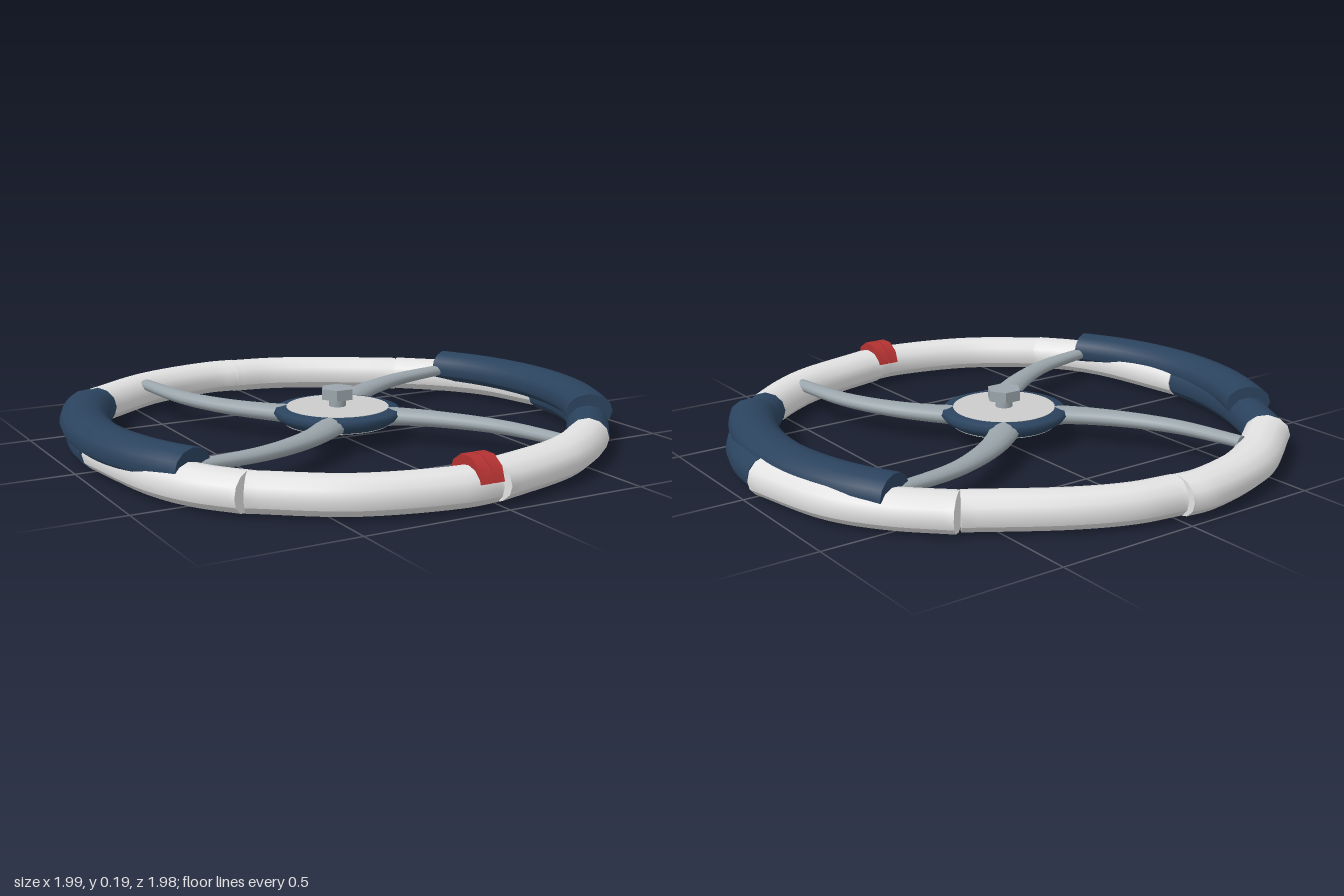
import * as THREE from 'three';

const CX = -0.03; // hub centre in x
const mat = (name, color) => {
  const m = new THREE.MeshStandardMaterial({ color });
  m.name = name;
  return m;
};

// Section strips as angles in degrees; each strip is smooth, strip borders stay sharp
const RIM = [[-27, 0, 30, 60, 90, 120, 150, 180, 207], [207, 235, 270, 305, 333]];
const ROUND = [[-90, -60, -30, 0, 30, 60, 90, 120, 150, 180, 210, 240, 270]];
const SADDLE = [[0, 36, 72, 108, 144, 180], [180, 360]];

// Sweep an elliptical section along a path; widths and heights taper from start to end
function sweep(points, [w0, w1], [h0, h1], strips, steps = 20) {
  const curve = new THREE.CatmullRomCurve3(points.map((p) => new THREE.Vector3(...p)));
  const pos = [], index = [];
  const at = (t, deg) => {
    const p = curve.getPoint(t), d = curve.getTangent(t), a = THREE.MathUtils.degToRad(deg);
    const len = Math.hypot(d.x, d.z), w = (w0 + (w1 - w0) * t) * Math.cos(a);
    const h = (h0 + (h1 - h0) * t) * Math.sin(a);
    pos.push(p.x - (d.z / len) * w, p.y + h, p.z + (d.x / len) * w);
  };
  for (const strip of strips) {
    const base = pos.length / 3, n = strip.length;
    for (let i = 0; i <= steps; i++) strip.forEach((deg) => at(i / steps, deg));
    for (let i = 0; i < steps; i++) {
      for (let j = 0; j < n - 1; j++) {
        const a = base + i * n + j, b = a + n;
        index.push(a, b, a + 1, b, b + 1, a + 1);
      }
    }
  }
  // end caps
  const loop = strips.flat();
  for (const t of [0, 1]) {
    const base = pos.length / 3;
    loop.forEach((deg) => at(t, deg));
    for (let j = 1; j < loop.length - 1; j++) {
      if (t === 0) index.push(base, base + j, base + j + 1);
      else index.push(base, base + j + 1, base + j);
    }
  }
  const g = new THREE.BufferGeometry();
  g.setAttribute('position', new THREE.Float32BufferAttribute(pos, 3));
  g.setIndex(index);
  g.computeVertexNormals();
  return g;
}

export function createModel() {
  const group = new THREE.Group();
  const white = mat('white', 0xe2e2e2);
  const navy = mat('navy', 0x2b435e);
  const steel = mat('steel', 0x9aa5ab);
  const silver = mat('silver', 0xcbcbcb);
  const red = mat('red', 0xb53232);
  const add = (name, geometry, material, x = 0, y = 0, z = 0) => {
    const m = new THREE.Mesh(geometry, material);
    m.name = name;
    m.position.set(x, y, z);
    group.add(m);
    return m;
  };

  // Rim: eight slightly mismatched arcs, [name, material, path (x, z), widths]
  const rim = [
    ['rimBackRight', white, [[-0.025, -0.908], [-0.12, -0.915], [-0.41, -0.84], [-0.69, -0.655]], [0.08, 0.08]],
    ['rimBackLeft', white, [[-0.025, -0.9], [0.13, -0.872], [0.305, -0.795], [0.585, -0.615]], [0.07, 0.07]],
    ['rimLeftBack', white, [[0.595, -0.62], [0.74, -0.475], [0.845, -0.31], [0.92, 0]], [0.082, 0.072]],
    ['rimLeftFront', navy, [[0.9, 0], [0.88, 0.16], [0.81, 0.34], [0.6, 0.62]], [0.08, 0.072]],
    ['rimFrontLeft', white, [[0.6, 0.62], [0.47, 0.72], [0.32, 0.805], [-0.005, 0.9]], [0.072, 0.085]],
    ['rimFrontRight', white, [[-0.01, 0.905], [-0.12, 0.91], [-0.43, 0.83], [-0.69, 0.65]], [0.073, 0.073]],
    ['rimRightFront', white, [[-0.69, 0.65], [-0.78, 0.53], [-0.845, 0.37], [-0.9, 0]], [0.082, 0.08]],
    ['rimRightBack', navy, [[-0.905, 0], [-0.885, -0.19], [-0.82, -0.4], [-0.69, -0.655]], [0.078, 0.072]],
  ];
  for (const [name, material, path, w] of rim) {
    add(name, sweep(path.map(([x, z]) => [x, 0.065, z]), w, [0.065, 0.065], RIM), material);
  }

  // Raised grip pads, mirrored about the hub
  for (const [name, side] of [['leftGrip', 1], ['rightGrip', -1]]) {
    const path = [];
    for (let i = -4; i <= 4; i++) {
      const a = side * i * 0.135;
      path.push([CX + side * (0.915 * Math.cos(a) - 0.03), 0.11, side * 0.915 * Math.sin(a)]);
    }
    add(name, sweep(path, [0.083, 0.083], [0.06, 0.06], RIM, 28), navy);
  }

  // Four curved spokes tapering towards the rim
  const spoke = sweep(
    [[-0.13, 0.085, -0.1], [-0.175, 0.087, -0.135], [-0.285, 0.09, -0.275], [-0.385, 0.095, -0.48], [-0.437, 0.102, -0.745]],
    [0.062, 0.026], [0.034, 0.02], ROUND, 24);
  for (let i = 0; i < 4; i++) {
    add('spoke' + (i + 1), spoke, steel, CX).rotation.y = (i * Math.PI) / 2;
  }

  // Hub: dished collar, face plate and hex nut on a short stem
  const collar = [[0.185, 0.06], [0.215, 0.08], [0.227, 0.097], [0.218, 0.112], [0.18, 0.118]];
  add('hubCollar', new THREE.LatheGeometry(collar.map((p) => new THREE.Vector2(...p)), 48), navy, CX);
  add('hubPlate', new THREE.CylinderGeometry(0.182, 0.187, 0.06, 48), silver, CX, 0.089);
  add('nutStem', new THREE.CylinderGeometry(0.03, 0.03, 0.05, 16), steel, CX, 0.135);
  const hex = new THREE.CylinderGeometry(0.062, 0.062, 0.038, 6).rotateY(Math.PI / 6).toNonIndexed();
  hex.computeVertexNormals();
  add('hexNut', hex, steel, CX, 0.166);

  // Twin red centre bands saddling the front of the rim
  for (const [name, x] of [['bandRight', -0.074], ['bandLeft', -0.03]]) {
    add(name, sweep([[x - 0.02, 0.085, 0.9], [x, 0.085, 0.9], [x + 0.02, 0.085, 0.9]],
      [0.083, 0.083], [0.075, 0.075], SADDLE, 2), red);
  }
  return group;
}
